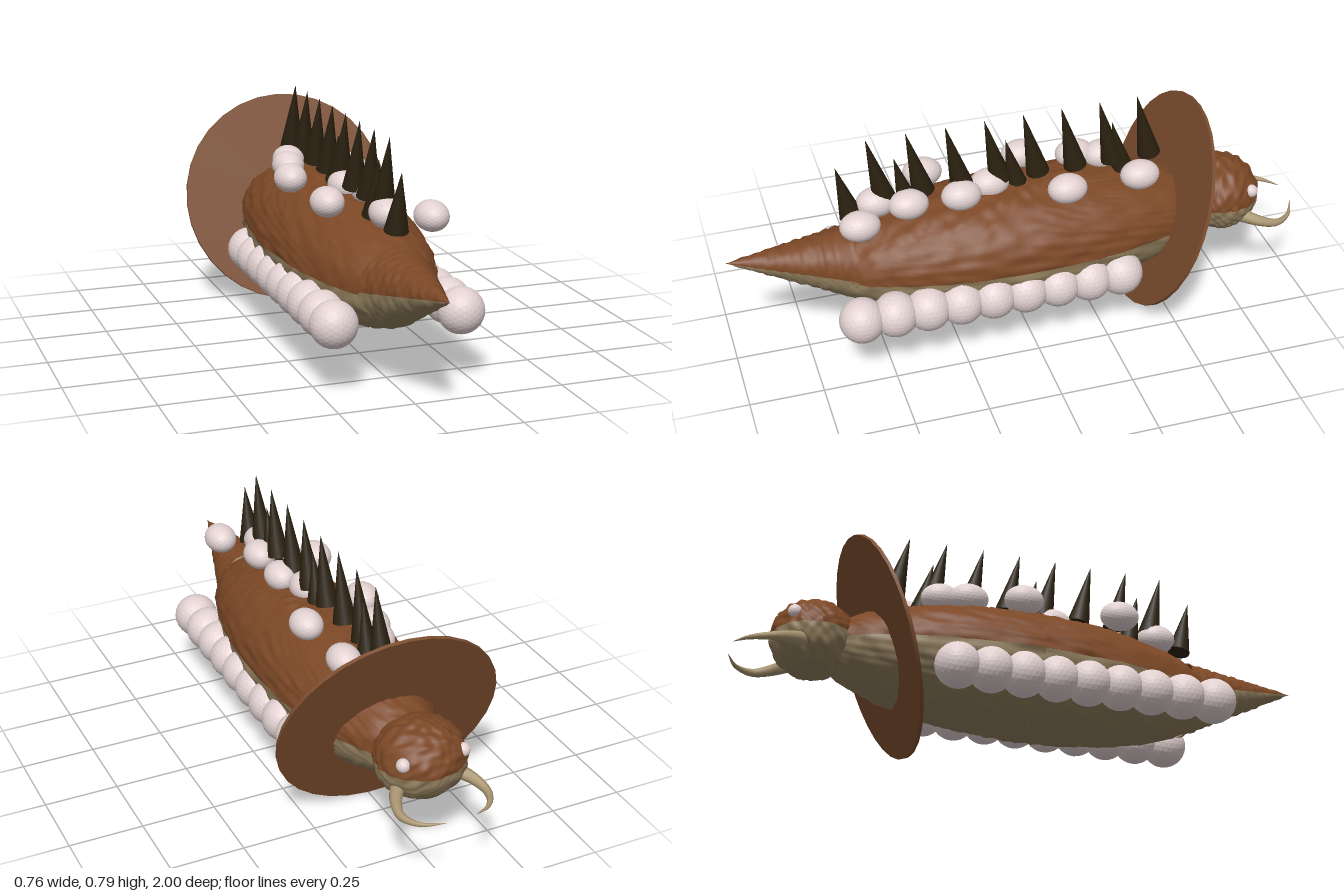
import * as THREE from 'three';

const mat = (name, color, extra = {}) => {
  const m = new THREE.MeshStandardMaterial({ color, ...extra });
  m.name = name;
  return m;
};

export function createModel() {
  const group = new THREE.Group();
  const brown = mat('brown hide', 0x7c4826, { side: THREE.DoubleSide });
  const tan = mat('tan belly', 0x8f7c5c, { side: THREE.DoubleSide });
  const discBrown = mat('disc brown', 0x7c4d2e);
  const pink = mat('pale pink', 0xe2d1d1, { flatShading: true });
  const dark = mat('dark spine', 0x2a200f);
  const horn = mat('horn', 0xa89470);

  const add = (name, geo, material, x = 0, y = 0, z = 0, parent = group) => {
    const mesh = new THREE.Mesh(geo, material);
    mesh.name = name;
    mesh.position.set(x, y, z);
    parent.add(mesh);
    return mesh;
  };

  // Gentle lumps pushed along the normals of a hide surface
  const lumpy = (geo, amp, f) => {
    const p = geo.attributes.position;
    geo.computeVertexNormals();
    const n = geo.attributes.normal;
    for (let i = 0; i < p.count; i++) {
      const x = p.getX(i) * f, y = p.getY(i) * f, z = p.getZ(i) * f;
      const d = amp * (Math.sin(x + 1.7 * Math.sin(z * 0.6)) * Math.sin(z + y * 0.7)
        + 0.6 * Math.sin(2.1 * y + 1.3 * x) * Math.cos(1.9 * z - x));
      p.setXYZ(i, p.getX(i) + n.getX(i) * d, p.getY(i) + n.getY(i) * d, p.getZ(i) + n.getZ(i) * d);
    }
    geo.computeVertexNormals();
    return geo;
  };

  // Ellipsoid in two halves: brown back, tan belly
  const twoTone = (name, rx, ry, rz, y, z, amp) => {
    const part = new THREE.Group();
    part.name = name;
    part.position.set(0, y, z);
    [['Back', brown, 0], ['Belly', tan, Math.PI / 2]].forEach(([half, m, start]) => {
      const geo = new THREE.SphereGeometry(1, 110, 36, 0, Math.PI * 2, start, Math.PI / 2);
      add(name + half, lumpy(geo.scale(rx, ry, rz), amp, 75), m, 0, 0, 0, part);
    });
    group.add(part);
    return part;
  };
  twoTone('body', 0.248, 0.213, 0.71, 0.322, -0.01, 0.0045).rotation.x = 0.012;
  twoTone('head', 0.148, 0.128, 0.14, 0.35, -0.735, 0.004);

  // Tail cone, rising to its tip
  [['tailBack', brown, Math.PI / 2], ['tailBelly', tan, -Math.PI / 2]].forEach(([name, m, start]) => {
    const geo = new THREE.CylinderGeometry(0.001, 0.13, 0.42, 36, 40, true, start, Math.PI);
    geo.rotateX(Math.PI / 2).translate(0, 0, 0.21);
    const p = geo.attributes.position;
    for (let i = 0; i < p.count; i++) {
      const t = p.getZ(i) / 0.42;
      const ring = 1 + 0.025 * Math.sin(t * 75);
      p.setXYZ(i, p.getX(i) * ring, p.getY(i) * ring + 0.32 + 0.08 * t, p.getZ(i));
    }
    add(name, lumpy(geo, 0.002, 75), m, 0, 0, 0.58);
  });

  // Tilted collar disc
  const disc = add('collarDisc', new THREE.CylinderGeometry(0.38, 0.38, 0.012, 32), discBrown, 0, 0.357, -0.515);
  disc.rotation.set(1.223, 0, 0.04);

  // Rows of balls along both flanks
  const ball = new THREE.IcosahedronGeometry(0.077, 4);
  for (const s of [-1, 1])
    for (let i = 0; i < 9; i++) add('flankBall', ball, pink, s * 0.213, 0.232, 0.6 - i * 0.1125);

  // Scattered balls on the back
  const backBall = new THREE.IcosahedronGeometry(1, 4).scale(0.055, 0.05, 0.068);
  [[0.1, -0.4], [-0.06, -0.32], [-0.09, -0.23], [0.11, -0.14], [-0.14, -0.05], [0, 0.1],
    [0.045, 0.21], [-0.13, 0.3], [0.045, 0.39], [0, 0.49], [0.12, 0.57]]
    .forEach(([x, z]) => add('backBall', backBall, pink, x, 0.542, z));

  // Spines along the ridge, leaning toward the tail
  const spine = (z, base, length) => {
    const geo = new THREE.ConeGeometry(0.04, length, 16).translate(0, length / 2, 0);
    add('spine', geo, dark, 0, base, z).rotation.x = 0.22;
  };
  for (let i = 0; i < 8; i++) spine(0.462 - i * 0.133, 0.555, 0.24);
  [0.575, 0.38, 0, -0.375].forEach((z) => spine(z, 0.505, 0.2));

  // Horns curving in to their tips, and eyes
  for (const s of [-1, 1]) {
    const curve = new THREE.CatmullRomCurve3([[0.1, 0.3, -0.78], [0.138, 0.285, -0.84],
      [0.15, 0.272, -0.9], [0.118, 0.272, -0.96], [0.05, 0.282, -1]]
      .map(([x, y, z]) => new THREE.Vector3(s * x, y, z)));
    const rows = 24, sides = 12;
    const geo = new THREE.TubeGeometry(curve, rows, 0.025, sides);
    const p = geo.attributes.position, v = new THREE.Vector3();
    for (let i = 0; i < p.count; i++) {
      const t = Math.floor(i / (sides + 1)) / rows;
      const c = curve.getPointAt(t);
      v.fromBufferAttribute(p, i).sub(c).multiplyScalar(1 - 0.97 * t).add(c);
      p.setXYZ(i, v.x, v.y, v.z);
    }
    geo.computeVertexNormals();
    add(s > 0 ? 'leftHorn' : 'rightHorn', geo, horn);
    add(s > 0 ? 'leftEye' : 'rightEye', new THREE.IcosahedronGeometry(0.023, 2), pink, s * 0.104, 0.393, -0.818);
  }
  return group;
}
